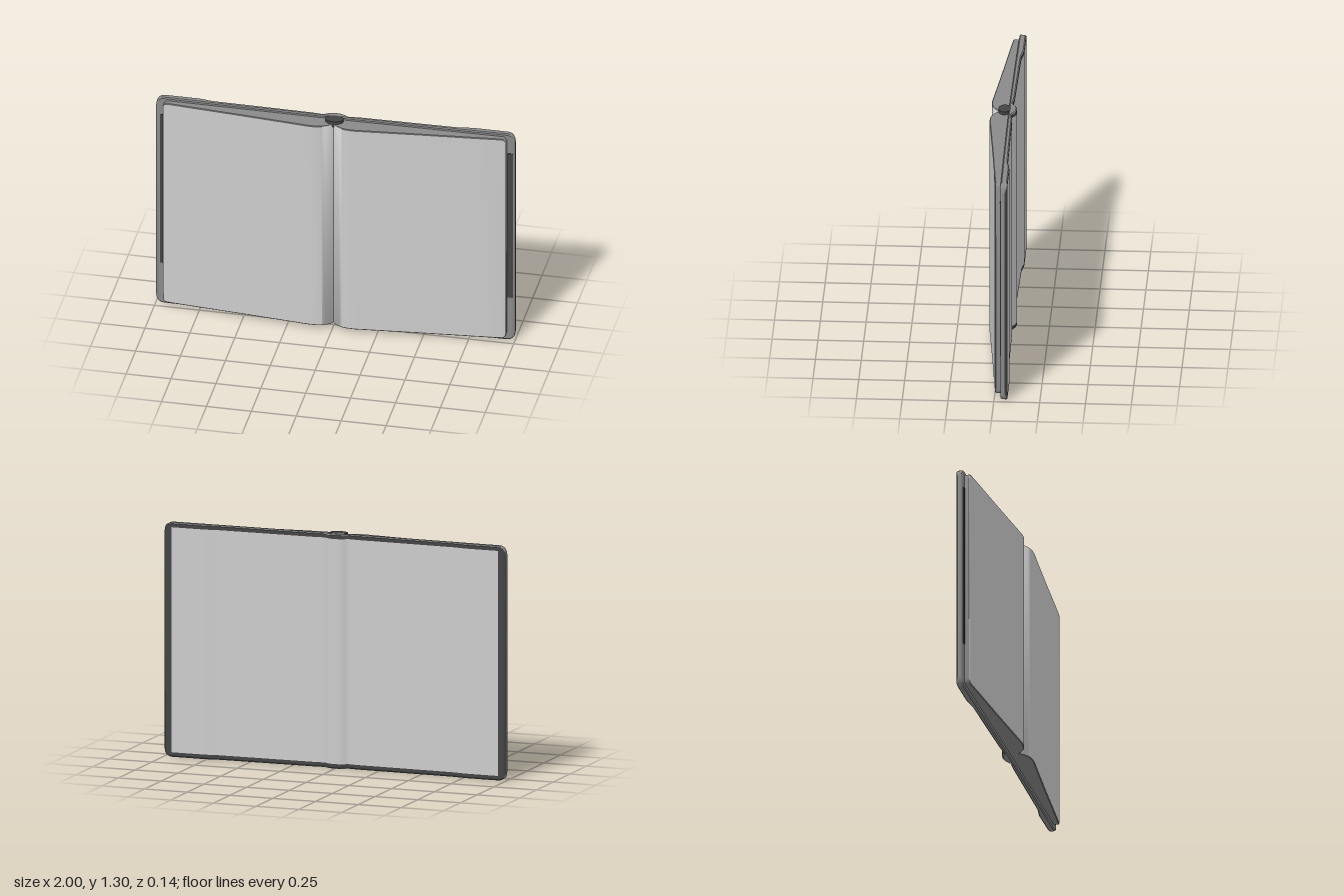
import * as THREE from 'three';
import { toCreasedNormals } from 'three/addons/utils/BufferGeometryUtils.js';

const light = new THREE.MeshStandardMaterial({ color: 0xcccccc, name: 'paperGrey' });
const mid = new THREE.MeshStandardMaterial({ color: 0x8a8a8a, name: 'edgeGrey' });
const dark = new THREE.MeshStandardMaterial({ color: 0x444444, name: 'darkGrey' });

// Linear lookup in a list of [|x|, z] pairs
function lookup(pts, x) {
  const i = pts.findIndex((p) => p[0] >= x - 1e-9);
  if (i <= 0) return pts[0][1];
  const [a, b] = [pts[i - 1], pts[i]];
  return a[1] + ((b[1] - a[1]) * (x - a[0])) / (b[0] - a[0]);
}

// Mirrored slab made of rounded rings along x; pick(j, x) gives the material of each strip
function loft({ xs, back, front, y0, y1, r, e, border, pick }) {
  const half = xs[xs.length - 1];
  const stations = [...xs.slice(1).reverse().map((x) => -x), ...xs];
  const rings = stations.map((x) => {
    const a = Math.abs(x);
    const d = Math.max(0, a - (half - r));
    const inset = r - Math.sqrt(Math.max(0, r * r - d * d));
    const lo = y0 + inset, hi = y1 - inset;
    const b = lookup(back, a), f = lookup(front, a);
    const pLo = Math.max(lo + e, y0 + border), pHi = Math.min(hi - e, y1 - border);
    return [[lo + e, b], [pLo, b], [pHi, b], [hi - e, b], [hi, b + e], [hi, f - e],
      [hi - e, f], [lo + e, f], [lo, f - e], [lo, b + e]].map(([y, z]) => [x, y, z]);
  });
  const buckets = [[], [], []];
  const n = rings[0].length;
  for (let i = 0; i < rings.length - 1; i++) {
    const mx = Math.abs(stations[i] + stations[i + 1]) / 2;
    for (let j = 0; j < n; j++) {
      const k = (j + 1) % n;
      const [a, b, c, d] = [rings[i][j], rings[i][k], rings[i + 1][k], rings[i + 1][j]];
      buckets[pick(j, mx)].push(...a, ...b, ...c, ...a, ...c, ...d);
    }
  }
  // End caps
  const first = rings[0], last = rings[rings.length - 1];
  for (let j = 1; j < n - 1; j++) {
    buckets[1].push(...last[0], ...last[j], ...last[j + 1]);
    buckets[1].push(...first[0], ...first[j + 1], ...first[j]);
  }
  const geo = new THREE.BufferGeometry();
  geo.setAttribute('position', new THREE.Float32BufferAttribute(buckets.flat(), 3));
  let start = 0;
  buckets.forEach((b, m) => {
    if (b.length) geo.addGroup(start, b.length / 3, m);
    start += b.length / 3;
  });
  return toCreasedNormals(geo, 0.75);
}

export function createModel() {
  const book = new THREE.Group();
  book.name = 'openBook';
  const add = (geo, material, name) => {
    const mesh = new THREE.Mesh(geo, material);
    mesh.name = name;
    book.add(mesh);
    return mesh;
  };

  // Cover boards and rounded spine, with an inset pale panel on the back
  add(loft({
    xs: [0, 0.02, 0.035, 0.05, 0.062, 0.075, 0.1, 0.14, 0.4, 0.68, 0.71, 0.74, 0.77, 0.9, 0.955, 0.97, 0.985, 0.995, 1],
    back: [[0, -0.073], [0.02, -0.071], [0.035, -0.067], [0.05, -0.06], [0.062, -0.051], [0.075, -0.047], [0.1, -0.05],
      [0.14, -0.053], [0.68, -0.06], [0.71, -0.063], [0.74, -0.069], [0.77, -0.072], [0.985, -0.072], [0.995, -0.066], [1, -0.058]],
    front: [[0, -0.03], [0.1, -0.029], [0.7, -0.033], [0.985, -0.036], [0.995, -0.04], [1, -0.046]],
    y0: 0, y1: 1.3, r: 0.045, e: 0.006, border: 0.026,
    pick: (j, x) => (j === 1 && x < 0.955 ? 0 : j <= 2 ? 2 : 1),
  }), [light, mid, dark], 'cover');

  // Two page stacks curling into the middle gutter
  add(loft({
    xs: [0, 0.006, 0.015, 0.025, 0.04, 0.055, 0.07, 0.09, 0.12, 0.15, 0.2, 0.35, 0.5, 0.8, 0.93, 0.942, 0.95, 0.955],
    back: [[0, -0.034], [0.7, -0.036], [0.955, -0.038]],
    front: [[0, 0.018], [0.006, 0.027], [0.015, 0.037], [0.025, 0.046], [0.04, 0.055], [0.055, 0.062], [0.07, 0.066],
      [0.09, 0.069], [0.12, 0.07], [0.15, 0.068], [0.2, 0.063], [0.5, 0.035], [0.8, 0.009], [0.93, -0.003], [0.95, -0.006], [0.955, -0.01]],
    y0: 0.024, y1: 1.284, r: 0.025, e: 0.004, border: 0.02,
    pick: (j) => (j <= 2 || j === 6 ? 0 : 1),
  }), [light, mid, dark], 'pages');

  // Dark band at the top of the spine
  const band = new THREE.CylinderGeometry(1, 1, 0.035, 24);
  band.scale(0.05, 1, 0.034);
  add(band, dark, 'headBand').position.set(0, 1.283, -0.006);

  // Dark strips along the inside of the outer cover margins
  for (const [x, w, y, h] of [[0.973, 0.034, 0.725, 0.91], [-0.966, 0.02, 0.725, 0.94]]) {
    const strip = add(new THREE.BoxGeometry(w, h, 0.004), dark, x > 0 ? 'leftMarginStrip' : 'rightMarginStrip');
    strip.position.set(x, y, -0.0345);
  }
  return book;
}
